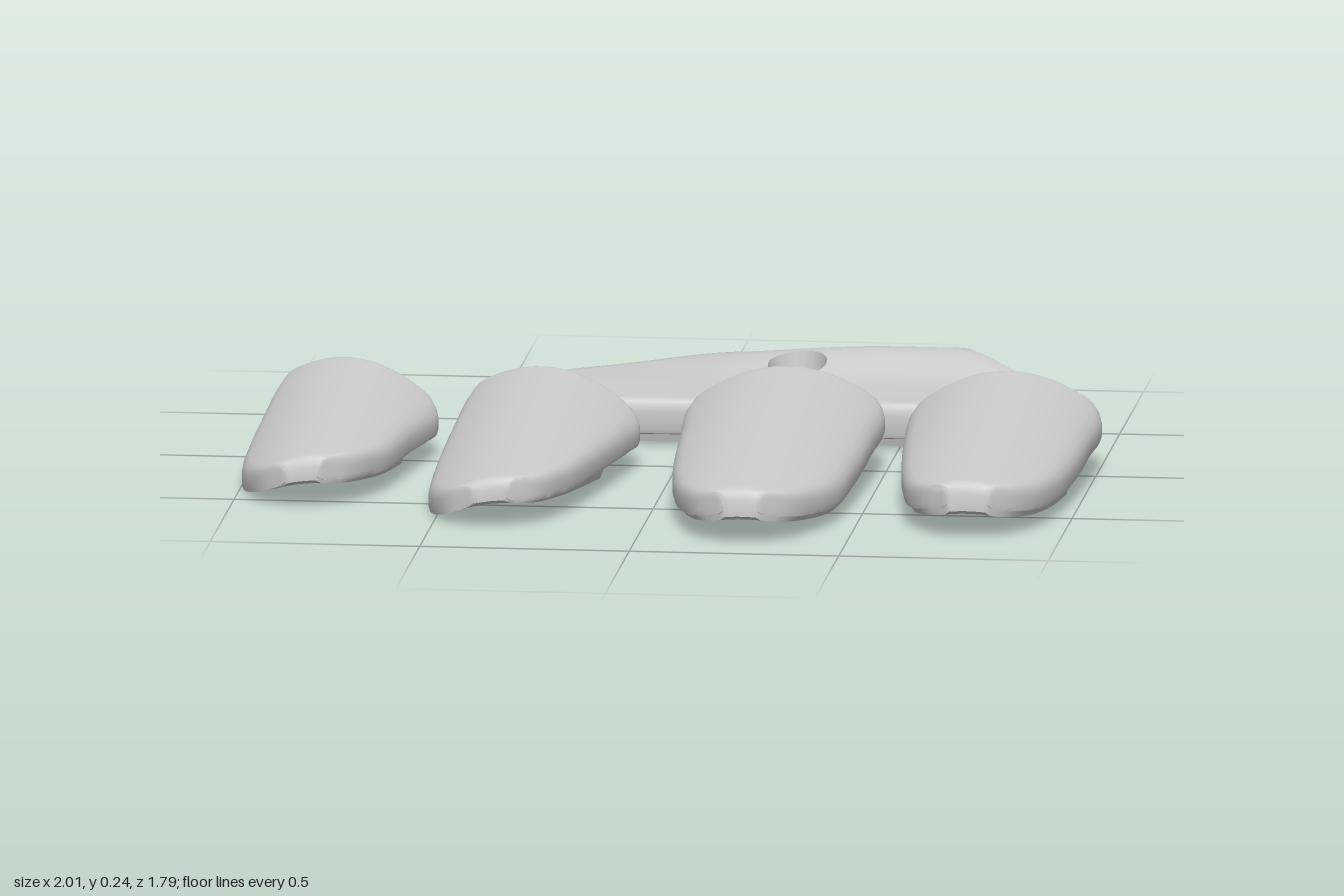
import * as THREE from 'three';
import { toCreasedNormals } from 'three/addons/utils/BufferGeometryUtils.js';

const V = (x, y, z) => new THREE.Vector3(x, y, z);
const material = new THREE.MeshStandardMaterial({ color: 0xcccccc });

// Skin a list of closed rings; either cap both ends or join the last ring to the first
function loft(name, rings, capped) {
  const n = rings[0].length, m = rings.length, pts = rings.flat(), idx = [];
  const quad = (a, b, c, d) => idx.push(a, b, c, a, c, d);
  for (let j = 0; j < (capped ? m - 1 : m); j++) {
    const k = (j + 1) % m;
    for (let i = 0; i < n; i++) {
      const i2 = (i + 1) % n;
      quad(j * n + i, j * n + i2, k * n + i2, k * n + i);
    }
  }
  if (capped) {
    const e = (m - 1) * n;
    for (let i = 0; i < n / 2 - 1; i++) {
      quad(i, n - 1 - i, n - 2 - i, i + 1);
      quad(e + i, e + i + 1, e + n - 2 - i, e + n - 1 - i);
    }
  }
  // Turn all faces outward
  let volume = 0;
  for (let i = 0; i < idx.length; i += 3) {
    volume += pts[idx[i]].dot(pts[idx[i + 1]].clone().cross(pts[idx[i + 2]]));
  }
  if (volume < 0) idx.reverse();
  const geo = new THREE.BufferGeometry().setFromPoints(pts);
  geo.setIndex(idx);
  const mesh = new THREE.Mesh(toCreasedNormals(geo, 0.7), material);
  mesh.name = name;
  return mesh;
}

// Each rung is [xLeftEdge, z, xRightEdge, z], back to front; rung 3 is the underside step
const FINGERS = [
  { name: 'fingerPlateOuterLeft', xc: 0.777, hw: 0.225, crown: 0.213, rungs: [
    [0.585, -0.115, 0.96, -0.13], [0.553, -0.08, 1, -0.1], [0.555, 0.1, 0.998, 0.1], [0.57, 0.29, 0.988, 0.29],
    [0.595, 0.5, 0.965, 0.5], [0.625, 0.64, 0.93, 0.64], [0.67, 0.72, 0.885, 0.72], [0.73, 0.767, 0.83, 0.767]] },
  { name: 'fingerPlateInnerLeft', xc: 0.255, hw: 0.233, crown: 0.224, rungs: [
    [0.05, -0.08, 0.46, -0.095], [0.022, -0.05, 0.488, -0.06], [0.025, 0.15, 0.485, 0.15], [0.037, 0.4, 0.473, 0.4],
    [0.06, 0.6, 0.455, 0.6], [0.09, 0.73, 0.42, 0.73], [0.14, 0.84, 0.365, 0.84], [0.21, 0.892, 0.295, 0.892]] },
  { name: 'fingerPlateInnerRight', xc: -0.31, hw: 0.222, crown: 0.2, rungs: [
    [-0.485, -0.175, -0.12, -0.045], [-0.51, -0.12, -0.088, 0], [-0.525, 0.08, -0.1, 0.12], [-0.533, 0.28, -0.127, 0.28],
    [-0.533, 0.48, -0.165, 0.48], [-0.522, 0.6, -0.195, 0.6], [-0.47, 0.72, -0.25, 0.72], [-0.4, 0.764, -0.32, 0.764]] },
  { name: 'fingerPlateOuterRight', xc: -0.785, hw: 0.212, crown: 0.182, rungs: [
    [-0.955, -0.275, -0.6, -0.13], [-0.975, -0.21, -0.578, -0.08], [-0.99, -0.02, -0.592, 0.04], [-1, 0.17, -0.615, 0.17],
    [-1, 0.33, -0.64, 0.33], [-0.985, 0.42, -0.665, 0.42], [-0.935, 0.53, -0.72, 0.53], [-0.87, 0.582, -0.79, 0.582]] },
];

// Arched shell, sloping down to the front, thicker below in its front half
function fingerPlate({ name, xc, hw, crown, rungs }) {
  const left = new THREE.CatmullRomCurve3(rungs.map(r => V(r[0], 0, r[1])));
  const right = new THREE.CatmullRomCurve3(rungs.map(r => V(r[2], 0, r[3])));
  const us = [-1, -0.985, -0.94, -0.88];
  for (let i = -6; i <= 6; i++) us.push(i * 0.13);
  us.push(0.88, 0.94, 0.985, 1);
  const sideDrop = u => (u === 1 ? 0.022 : u === 0.985 ? 0.01 : u === 0.94 ? 0.002 : 0);

  const segs = rungs.length - 1, ts = [];
  for (let i = 0; i <= segs * 6; i++) {
    ts.push(i / (segs * 6));
    if (i === 18) ts.push(3 / segs + 0.0005);
  }
  const rings = ts.map(t => {
    const a = left.getPoint(t), b = right.getPoint(t);
    const end = t < 0.5 ? [left.getPoint(0), right.getPoint(0)] : [left.getPoint(1), right.getPoint(1)];
    const dz = Math.abs(a.z + b.z - end[0].z - end[1].z) / 2, r = 0.025;
    const round = dz < r ? r - Math.sqrt(r * r - (r - dz) ** 2) : 0;
    const front = t > 3 / segs + 0.0001;
    const at = (u, under) => {
      const p = a.clone().lerp(b, (u + 1) / 2), d = (p.x - xc) / hw, w = Math.abs(u);
      const top = crown - 0.11 * p.z - 0.09 * d * d;
      if (!under) p.y = top - sideDrop(w) - round;
      else {
        const shell = top - 0.058 + (w === 1 ? 0.012 : 0);
        const pad = Math.max(0, 0.052 * (1 - d * d * 1.2));
        p.y = (front && w < 0.9 ? Math.min(pad, shell) : shell) + round * 0.4;
      }
      return p;
    };
    return [...us.map(u => at(u, false)), ...us.map(u => at(-u, true))];
  });
  return loft(name, rings, true);
}

// Humped plate with a countersunk hole and a raised block underneath
function palmPlate() {
  const outline = [[-0.472, -0.255], [-0.445, -0.23], [-0.38, -0.231], [0.1, -0.245], [0.64, -0.252], [0.7, -0.265],
    [0.735, -0.31], [0.795, -0.44], [0.8, -0.475], [0.775, -0.51], [0.66, -0.62], [0.56, -0.745], [0.465, -0.877],
    [0.435, -0.9], [0.4, -0.893], [0.2, -0.8], [-0.02, -0.7], [-0.25, -0.585], [-0.37, -0.5], [-0.43, -0.42], [-0.46, -0.33]];
  const edge = new THREE.CatmullRomCurve3(outline.map(([x, z]) => V(x, 0, z)), true).getSpacedPoints(180).slice(0, -1);
  const hole = V(0.225, 0, -0.55);
  const step = THREE.MathUtils.smoothstep;
  const top = p => {
    const amount = step(p.x, -0.25, 0.45);
    return 0.106 + 0.01 * step(-p.z, 0.25, 0.45)
      + amount * (0.05 * step(-p.z, 0.42, 0.64) - 0.09 * step(-p.z, 0.62, 0.92));
  };
  const bottom = p => Math.max(0.018, top(p) - 0.085);

  const toward = (f, y, dz = 0) => edge.map(o => {
    const p = hole.clone().lerp(o, f);
    p.z += dz;
    p.y = y(p);
    return p;
  });
  const bore = (r, y) => edge.map(o => {
    const p = o.clone().sub(hole).setLength(r).add(hole);
    p.y = y(p);
    return p;
  });
  const rings = [bore(0.033, () => 0), bore(0.033, () => 0.06), bore(0.058, () => 0.075), bore(0.07, top)];
  // Upper surface, spreading from the hole to the rim
  for (let i = 1; i <= 10; i++) {
    const s = i / 10, inner = bore(0.07, top);
    rings.push(toward(0.955, top).map((p, k) => {
      const q = inner[k].clone().lerp(p, s);
      q.y = top(q);
      return q;
    }));
  }
  // Rounded rim, underside and block
  rings.push(
    toward(0.98, p => top(p) - 0.005), toward(0.995, p => top(p) - 0.016), toward(1, p => top(p) - 0.03),
    toward(1, p => bottom(p) + 0.012), toward(0.99, p => bottom(p) + 0.003), toward(0.97, bottom),
    toward(0.9, bottom, 0.02), toward(0.82, bottom, 0.04), toward(0.76, bottom, 0.052), toward(0.73, () => 0, 0.055),
  );
  return loft('palmPlate', rings, false);
}

export function createModel() {
  const group = new THREE.Group();
  group.name = 'handArmourPlates';
  FINGERS.forEach(f => group.add(fingerPlate(f)));
  group.add(palmPlate());
  return group;
}
